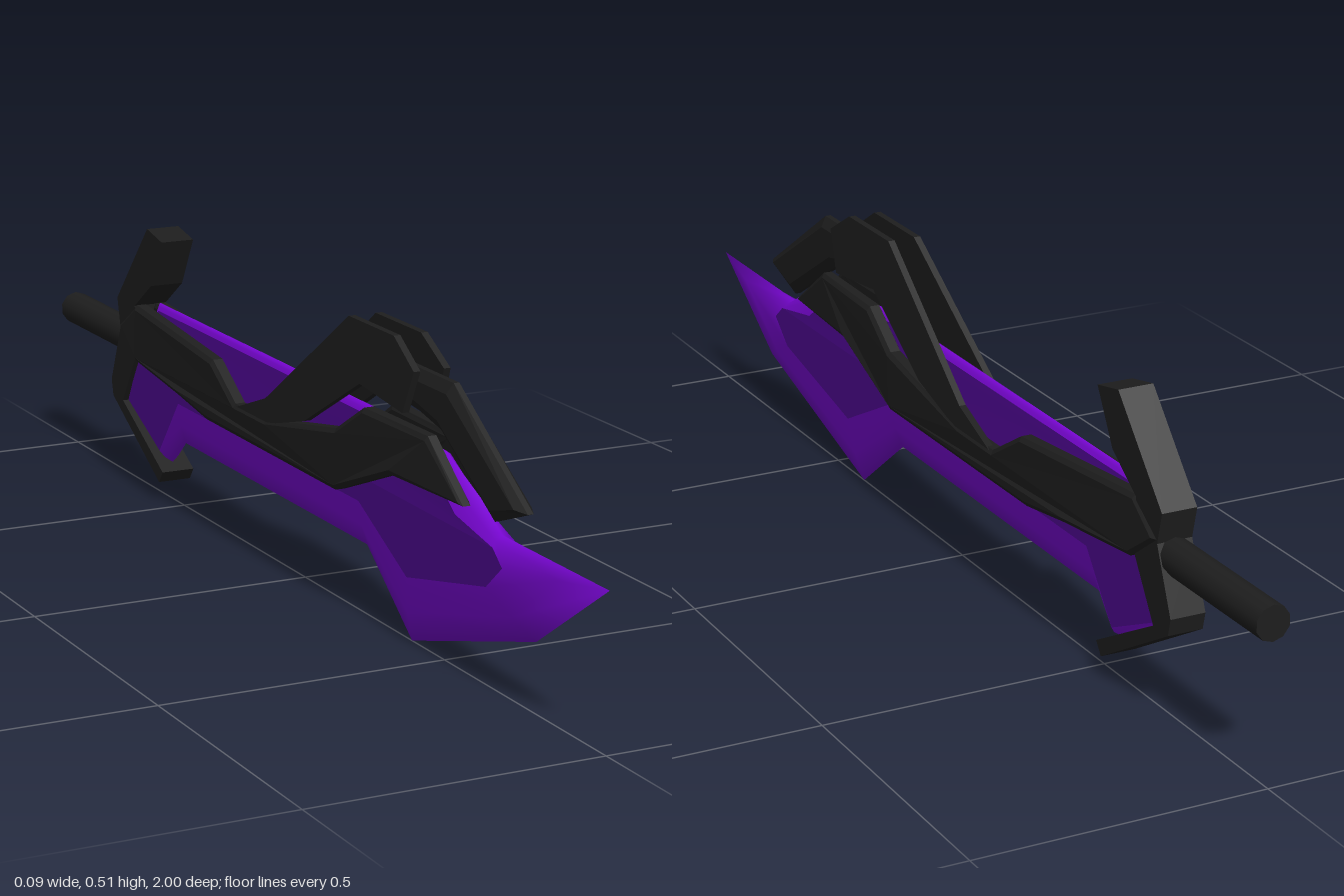
import * as THREE from 'three';
import { mergeVertices } from 'three/addons/utils/BufferGeometryUtils.js';

const black = new THREE.MeshStandardMaterial({ color: 0x1e1e1e });
black.name = 'charcoal';
const purple = new THREE.MeshStandardMaterial({ color: 0x7a06d6 });
purple.name = 'bright purple';
const indigo = new THREE.MeshStandardMaterial({ color: 0x4d0790, side: THREE.DoubleSide });
indigo.name = 'deep purple';

// All outlines are [z, y] pairs
const toShape = (pts) => new THREE.Shape(pts.map(([z, y]) => new THREE.Vector2(z, y)));

// Plate cut from an outline, centred on x = 0; a zero bevel leaves crisp edges
function plate(pts, half, inset = 0, bevel = 0) {
  const g = new THREE.ExtrudeGeometry(toShape(pts), {
    depth: 2 * (half - bevel), bevelEnabled: bevel > 0, bevelSegments: 1,
    bevelSize: inset, bevelOffset: -inset, bevelThickness: bevel,
  });
  g.translate(0, 0, -(half - bevel));
  g.rotateY(-Math.PI / 2);
  return g;
}

// Shift or squeeze x by a rule
function bend(g, rule) {
  const p = g.attributes.position;
  for (let i = 0; i < p.count; i++) p.setX(i, rule(p.getX(i), p.getY(i), p.getZ(i)));
  g.computeVertexNormals();
  return g;
}

// Half thickness of the flat of the blade: the back thins toward the spine
function halfAt(z, y) {
  const rise = z < 0.3 ? THREE.MathUtils.clamp((y - 0.25) / 0.1, 0, 1) : 0;
  return 0.022 * (1 - 0.65 * rise);
}

// Ground edge of the blade: rings from the sharp outline in to the flat, smooth over the edge
function edgeGeometry(outer, inner) {
  const steps = [[0, 0], [0.45, 0.62], [1, 1]];
  const pos = [];
  const n = outer.length;
  for (const side of [1, -1]) {
    const at = (i, [t, w]) => {
      const o = outer[i % n], q = inner[i % n];
      return [side * halfAt(...q) * w, o[1] + (q[1] - o[1]) * t, o[0] + (q[0] - o[0]) * t];
    };
    for (let s = 0; s < steps.length - 1; s++) {
      for (let i = 0; i < n; i++) {
        const a = at(i, steps[s]), b = at(i + 1, steps[s]);
        const c = at(i + 1, steps[s + 1]), d = at(i, steps[s + 1]);
        const quad = side > 0 ? [a, b, c, a, c, d] : [a, c, b, a, d, c];
        pos.push(...quad.flat());
      }
    }
  }
  const g = new THREE.BufferGeometry();
  g.setAttribute('position', new THREE.Float32BufferAttribute(pos, 3));
  const welded = mergeVertices(g, 1e-5);
  welded.computeVertexNormals();
  return welded;
}

export function createModel() {
  const root = new THREE.Group();
  root.name = 'sword';
  const add = (name, geometry, material) => {
    const m = new THREE.Mesh(geometry, material);
    m.name = name;
    root.add(m);
  };

  // Blade
  const outer = [[1, 0.255], [0.79, 0.115], [0.39, 0], [0.23, 0.12], [-0.49, 0.12], [-0.55, 0.07],
    [-0.72, 0.15], [-0.66, 0.25], [-0.6, 0.36], [0.25, 0.36], [0.5, 0.345], [0.6, 0.302], [0.68, 0.255]];
  const inner = [[0.72, 0.215], [0.67, 0.172], [0.41, 0.116], [0.24, 0.2], [-0.475, 0.2], [-0.56, 0.092],
    [-0.7, 0.157], [-0.65, 0.25], [-0.59, 0.348], [0.25, 0.345], [0.48, 0.325], [0.57, 0.262], [0.69, 0.24]];
  add('bladeEdge', edgeGeometry(outer, inner), purple);
  // Flats, split lengthwise where the back begins to thin
  const lowerFlat = [...inner.slice(0, 8), inner[12]];
  const upperFlat = inner.slice(7);
  for (const side of [1, -1]) {
    const label = side > 0 ? 'left' : 'right';
    for (const [name, pts] of [['LowerFlat', lowerFlat], ['UpperFlat', upperFlat]]) {
      const g = new THREE.ShapeGeometry(toShape(pts)).rotateY(-Math.PI / 2);
      add(label + name, bend(g, (x, y, z) => side * halfAt(z, y)), indigo);
    }
  }

  // Long fairings along both flanks, narrowing at the ends
  const fairing = [[0.607, 0.285], [0.49, 0.37], [0.286, 0.37], [0.195, 0.315], [-0.07, 0.268], [-0.19, 0.268],
    [-0.286, 0.325], [-0.64, 0.35], [-0.71, 0.3], [-0.635, 0.246], [-0.436, 0.23], [-0.31, 0.212],
    [0.195, 0.21], [0.388, 0.283]];
  // Swept wings above, leaning inward toward the top
  const wing = [[0.45, 0.465], [0.377, 0.508], [0.22, 0.508], [-0.07, 0.305], [-0.18, 0.265],
    [-0.05, 0.265], [0.08, 0.3], [0.27, 0.406], [0.42, 0.392]];
  for (const side of [1, -1]) {
    const label = side > 0 ? 'left' : 'right';
    add(label + 'Fairing', bend(plate(fairing, 0.014, 0.008, 0.005), (x, y, z) => {
      const front = THREE.MathUtils.clamp((z - 0.35) / 0.25, 0, 1);
      const back = THREE.MathUtils.clamp((-0.57 - z) / 0.08, 0, 1);
      const lean = Math.max(0, y - 0.3) * 0.08;
      return x * (1 - 0.3 * front) + side * (0.032 - 0.01 * front - 0.01 * back - lean);
    }), black);
    add(label + 'Wing', bend(plate(wing, 0.006),
      (x, y) => x + side * (0.025 + (0.5 - y) * 0.055)), black);
  }

  // Central beak in front of the wings
  const beak = [[0.767, 0.31], [0.53, 0.462], [0.3, 0.462], [0.27, 0.406], [0.42, 0.392],
    [0.49, 0.378], [0.666, 0.273]];
  add('beak', plate(beak, 0.016, 0.018, 0.011), black);

  // Guard
  const guard = [[-0.52, 0.49], [-0.585, 0.503], [-0.725, 0.348], [-0.712, 0.294], [-0.757, 0.185],
    [-0.75, 0.155], [-0.543, 0.037], [-0.527, 0.059], [-0.705, 0.155], [-0.645, 0.25],
    [-0.645, 0.348], [-0.57, 0.4]];
  add('guard', plate(guard, 0.031), black);

  // Grip
  const grip = new THREE.CylinderGeometry(0.03, 0.03, 0.36, 10);
  grip.rotateX(Math.PI / 2).translate(0, 0.27, -0.82);
  add('grip', grip, black);

  return root;
}
